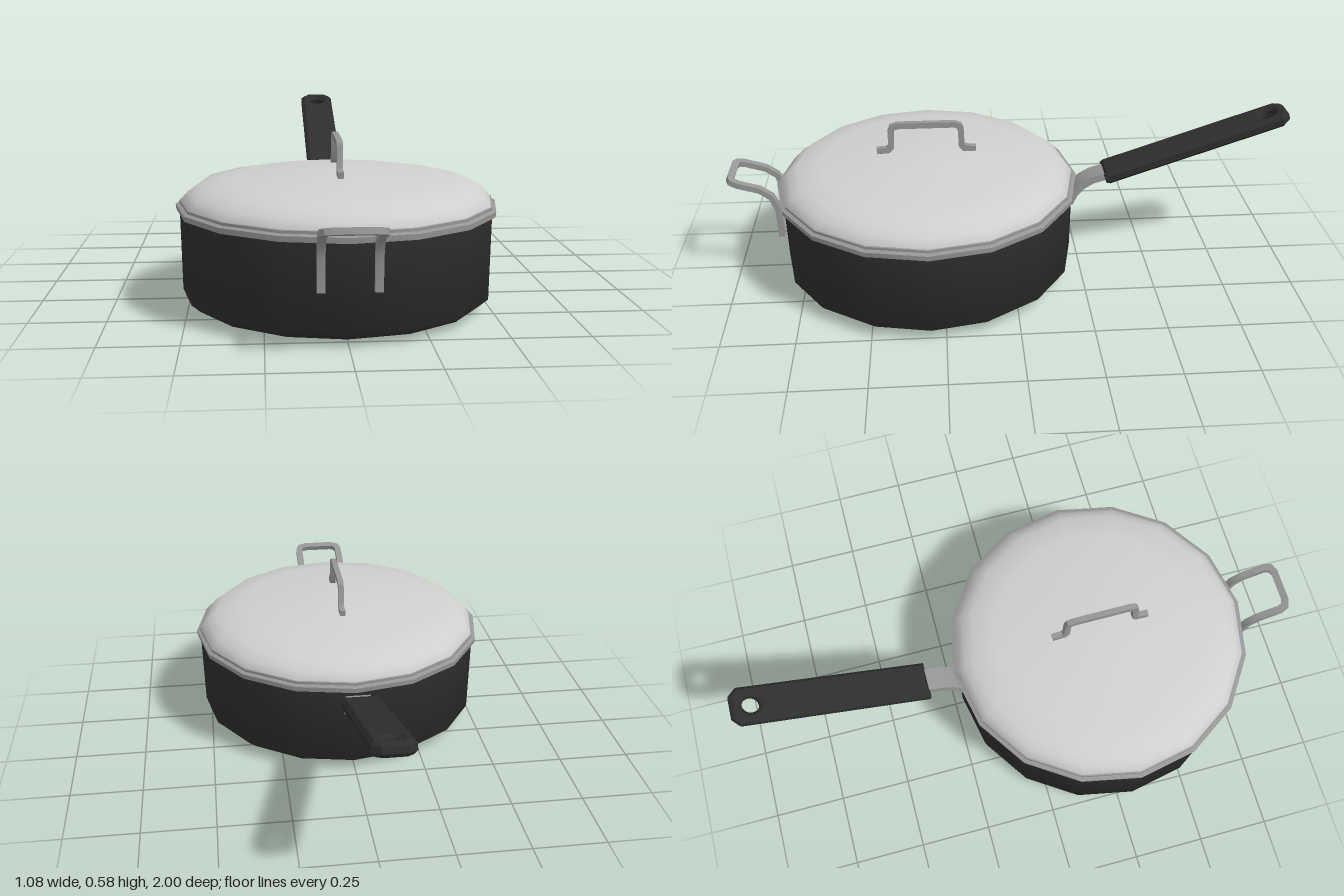
import * as THREE from 'three';
import { toCreasedNormals } from 'three/addons/utils/BufferGeometryUtils.js';

const PAN_Z = 0.3;
const SIDES = 16;

const material = (name, color) => {
  const m = new THREE.MeshStandardMaterial({ color });
  m.name = name;
  return m;
};

// Turned part, standing on the pan's axis
function turned(profile) {
  const points = profile.map(([r, y]) => new THREE.Vector2(r, y));
  const geometry = toCreasedNormals(new THREE.LatheGeometry(points, SIDES), 1.0);
  return geometry.translate(0, 0, PAN_Z);
}

// Bar of rectangular section: width lies across the path, thick along each normal
function bar(points, normals, width, thick) {
  const path = points.map((p) => new THREE.Vector3(...p));
  const last = path.length - 1;
  const direction = (i) => path[i + 1].clone().sub(path[i]).normalize();
  const rings = path.map((p, i) => {
    const before = direction(Math.max(i - 1, 0));
    const after = direction(Math.min(i, last - 1));
    const tangent = before.clone().add(after).normalize();
    const normal = normals[i];
    const mitre = 1 / tangent.dot(after);
    const side = tangent.clone().cross(normal).normalize();
    return [[1, 1], [-1, 1], [-1, -1], [1, -1]].map(([n, s]) => p.clone()
      .addScaledVector(normal, n * thick / 2)
      .addScaledVector(side, s * mitre * width / 2));
  });
  const corners = [];
  const quad = (a, b, c, d) => corners.push(a, b, c, a, c, d);
  for (let i = 0; i < last; i++) {
    for (let k = 0; k < 4; k++) {
      const j = (k + 1) % 4;
      quad(rings[i][k], rings[i][j], rings[i + 1][j], rings[i + 1][k]);
    }
  }
  quad(...rings[0].slice().reverse());
  quad(...rings[last]);
  const geometry = new THREE.BufferGeometry().setFromPoints(corners);
  geometry.computeVertexNormals();
  return toCreasedNormals(geometry, 0.7);
}

export function createModel() {
  const group = new THREE.Group();
  const dark = material('black coating', 0x2e2e2e);
  const steel = material('brushed steel', 0x969696);
  const bright = material('polished lid', 0xcfcfcf);
  const add = (name, geometry, mat) => {
    const mesh = new THREE.Mesh(geometry, mat);
    mesh.name = name;
    group.add(mesh);
  };
  const across = (points) => points.map(() => new THREE.Vector3(1, 0, 0));

  // Pan with inner wall
  add('panBody', turned([
    [0, 0], [0.432, 0.002], [0.49, 0.022], [0.52, 0.048], [0.525, 0.335],
    [0.505, 0.335], [0.5, 0.06], [0.43, 0.025], [0, 0.022],
  ]), dark);

  // Lid edge and dome
  add('lidRim', turned([
    [0.5, 0.322], [0.536, 0.323], [0.538, 0.341], [0.525, 0.346],
    [0.525, 0.355], [0.512, 0.358],
  ]), steel);
  add('lid', turned([
    [0, 0.335], [0.52, 0.335], [0.52, 0.357], [0.498, 0.382], [0.462, 0.409],
    [0.375, 0.426], [0.24, 0.442], [0.1, 0.456], [0, 0.457],
  ]), bright);

  // Lid grip: a bent rod with two feet, mirrored about the pan's axis
  const gripHalf = [
    [0.175, 0.46], [0.135, 0.463], [0.125, 0.475], [0.123, 0.535], [0.117, 0.549], [0.1, 0.555],
  ];
  const gripPath = [
    ...gripHalf.map(([z, y]) => [0, y, PAN_Z + z]),
    ...gripHalf.slice().reverse().map(([z, y]) => [0, y, PAN_Z - z]),
  ];
  add('lidGrip', bar(gripPath, across(gripPath), 0.021, 0.02), steel);

  // Front helper handle: a loop that rises along the wall and leans outward
  const loopHalf = [
    [0.085, 0.178, 0.825], [0.085, 0.285, 0.828], [0.085, 0.335, 0.847], [0.085, 0.363, 0.885],
    [0.085, 0.386, 0.96], [0.077, 0.392, 0.98], [0.055, 0.395, 0.988],
  ];
  const loopNormals = loopHalf.map((p, i) => {
    const a = loopHalf[Math.max(i - 1, 0)];
    const b = loopHalf[Math.min(i + 1, loopHalf.length - 1)];
    return new THREE.Vector3(0, b[2] - a[2], a[1] - b[1]).normalize();
  });
  add('helperHandle', bar(
    [...loopHalf, ...loopHalf.slice().reverse().map(([x, y, z]) => [-x, y, z])],
    [...loopNormals, ...loopNormals.slice().reverse()], 0.025, 0.02,
  ), steel);

  // Curved strap joining the long handle to the pan
  const strap = [
    [0, 0.24, -0.212], [0, 0.278, -0.23], [0, 0.31, -0.258], [0, 0.332, -0.295], [0, 0.353, -0.37],
  ];
  add('handleStrap', bar(strap, across(strap), 0.026, 0.08), steel);

  // Long handle with chamfered edges and a hanging hole
  const bevel = 0.012, half = 0.066 - bevel, end = 0.69 - bevel, cut = 0.02, depth = 0.021;
  const shape = new THREE.Shape([
    [-half, bevel], [half, bevel], [half, end - cut],
    [half - cut, end], [cut - half, end], [-half, end - cut],
  ].map(([x, y]) => new THREE.Vector2(x, y)));
  shape.holes.push(new THREE.Path().absarc(0, 0.622, 0.03 + bevel, 0, Math.PI * 2, true));
  const handle = new THREE.ExtrudeGeometry(shape, {
    depth, bevelEnabled: true, bevelSize: bevel, bevelThickness: bevel, bevelSegments: 1, curveSegments: 8,
  });
  handle.translate(0, 0, -depth / 2).rotateX(0.325 - Math.PI / 2).translate(0, 0.343, -0.338);
  add('longHandle', handle, dark);

  return group;
}
